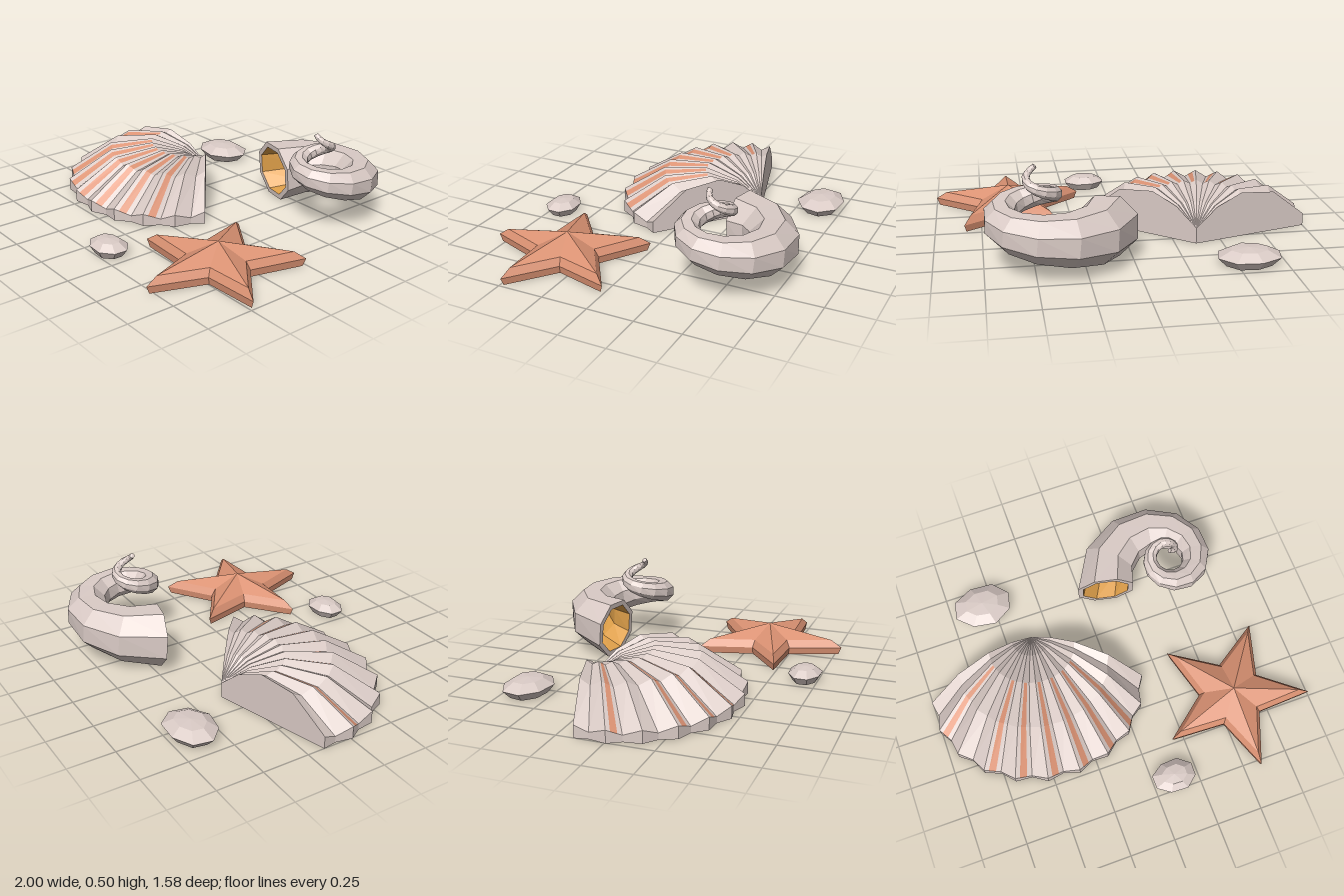
import * as THREE from 'three';

const paint = (name, color, extra = {}) =>
  Object.assign(new THREE.MeshStandardMaterial({ color, flatShading: true, ...extra }), { name });
const V = (x, y, z) => new THREE.Vector3(x, y, z);
const rad = THREE.MathUtils.degToRad;

// Joins neighbouring rings of points with triangles, skipping collapsed ones.
function loft(out, rings, closed = true) {
  const n = rings[0].length;
  const tri = (a, b, c) => {
    if (a.distanceTo(b) < 1e-6 || b.distanceTo(c) < 1e-6 || a.distanceTo(c) < 1e-6) return;
    for (const p of [a, b, c]) out.push(p.x, p.y, p.z);
  };
  for (let i = 0; i < rings.length - 1; i++) {
    for (let j = 0; j < (closed ? n : n - 1); j++) {
      const k = (j + 1) % n;
      const a = rings[i][j], b = rings[i][k], c = rings[i + 1][k], d = rings[i + 1][j];
      tri(a, b, c);
      tri(a, c, d);
    }
  }
  return out;
}

function toMesh(name, positions, material) {
  const g = new THREE.BufferGeometry();
  g.setAttribute('position', new THREE.Float32BufferAttribute(positions, 3));
  g.computeVertexNormals();
  const mesh = new THREE.Mesh(g, material);
  mesh.name = name;
  return mesh;
}

// Solid from horizontal layers [height, scale] of one outline (angle, radius pairs).
function layered(outline, layers, sx = 1, sz = 1) {
  return layers.map(([y, s]) => outline.map(([a, r]) =>
    V(Math.cos(a) * r * s * sx, y, -Math.sin(a) * r * s * sz)));
}

// Ribbed fan shell with a flat underside
function fanShell(mats) {
  const group = new THREE.Group();
  group.name = 'fanShell';
  const apex = V(-0.36, 0, -0.335);
  const profile = [[0, 0.085], [0.18, 0.185], [0.4, 0.245], [0.7, 0.222], [1, 0.067]];
  const steps = 20, start = 39.5, step = 6.25;
  const striped = [3, 5, 7, 9, 11, 13, 17];

  const point = (i, j) => {
    const [f, y] = profile[i];
    const valley = j % 2;
    const off = rad((j - steps / 2) * step);
    // the rim is half an ellipse ahead of the hinge
    const u = Math.sin(off), w = Math.cos(off);
    const A = (u / 0.59) ** 2 + (w / 0.51) ** 2, B = (w * 0.31) / 0.51 ** 2;
    const C = (0.31 / 0.51) ** 2 - 1;
    const R = (B + Math.sqrt(B * B - A * C)) / A;
    const r = R * f * (valley ? 1 - 0.035 * f : 1);
    const a = rad(start + j * step);
    return V(apex.x + Math.cos(a) * r, y - valley * 0.032 * Math.min(1, f * 1.5), apex.z + Math.sin(a) * r);
  };
  const ground = (p) => V(p.x, 0, p.z);

  const body = [], stripes = [];
  for (let j = 0; j < steps; j++) {
    const cuts = striped.includes(j) ? [0, 0.3, 0.72, 1] : [0, 1];
    for (let c = 0; c < cuts.length - 1; c++) {
      const column = profile.map((_, i) =>
        [cuts[c], cuts[c + 1]].map((t) => point(i, j).lerp(point(i, j + 1), t)));
      if (cuts.length > 2 && c === 1) {
        loft(body, column.slice(0, 3), false);
        loft(stripes, column.slice(2), false);
      } else loft(body, column, false);
    }
  }
  // rim and the two straight sides
  const rim = Array.from({ length: steps + 1 }, (_, j) => point(4, j));
  const rimGround = rim.map(ground);
  loft(body, [rim, rimGround], false);
  const right = profile.map((_, i) => point(i, 0));
  const left = profile.map((_, i) => point(i, steps));
  loft(body, [right, right.map(ground)], false);
  loft(body, [left.map(ground), left], false);
  const under = loft([], [rimGround, rimGround.map(() => apex)], false);

  group.add(toMesh('fanShellBody', body, mats.shell), toMesh('fanShellStripes', stripes, mats.coral),
    toMesh('fanShellUnderside', under, mats.cream));
  return group;
}

// Tapering coiled shell rising around its axis
function spiralShell(mats) {
  const group = new THREE.Group();
  group.name = 'spiralShell';
  const centre = (q) => {
    const r = 0.355 * 0.715 ** q, a = q * Math.PI / 2;
    return V(0.48 - r * Math.cos(a), 0.165 + 0.046 * q, -0.43 - r * Math.sin(a));
  };
  const sides = 8;
  const ring = (q, scale) => {
    const c = centre(q);
    const t = centre(q + 0.01).sub(centre(q - 0.01)).normalize();
    const n = V(-t.z, 0, t.x).normalize();
    const b = t.clone().cross(n);
    const R = 0.168 * 0.7 ** q * scale;
    return Array.from({ length: sides }, (_, k) => {
      const a = (k + 0.5) / sides * Math.PI * 2;
      return c.clone().addScaledVector(n, R * Math.cos(a)).addScaledVector(b, R * Math.sin(a));
    });
  };
  // lip, outer coil and closed tip
  const outer = [ring(0, 0.82)];
  for (let i = 0; i <= 21; i++) outer.push(ring(i / 3, 1));
  outer.push(ring(7.05, 0));
  // lining of the opening, deep end first
  const inner = [ring(1.34, 0), ring(1.33, 0.8), ring(1, 0.8), ring(2 / 3, 0.8), ring(1 / 3, 0.81), ring(0, 0.82)];
  group.add(toMesh('spiralCoil', loft([], outer), mats.shell), toMesh('spiralLining', loft([], inner), mats.ochre));
  return group;
}

// Five-armed starfish with bevelled edge and ridged arms
function starfish(mats) {
  const outline = Array.from({ length: 10 }, (_, k) =>
    [-Math.PI / 2 + k * Math.PI / 5, k % 2 ? 0.182 : 0.43]);
  const layers = [[0, 0], [0, 0.96], [0.04, 1], [0.08, 0.86], [0.145, 0]];
  const mesh = toMesh('starfish', loft([], layered(outline, layers)), mats.coral);
  mesh.position.set(0.59, 0, 0.355);
  return mesh;
}

// Small faceted pebble
function pebble(name, x, z, sx, sz, h, turn, mats) {
  const outline = Array.from({ length: 8 }, (_, k) => [(k + turn) * Math.PI / 4, 1 + 0.03 * Math.sin(k * 2.3)]);
  const layers = [[0, 0], [0, 0.72], [h * 0.53, 1], [h * 0.92, 0.58], [h, 0]];
  const mesh = toMesh(name, loft([], layered(outline, layers, sx, sz)), mats.shell);
  mesh.position.set(x, 0, z);
  return mesh;
}

export function createModel() {
  const mats = {
    shell: paint('shellGrey', 0xdacbc6),
    coral: paint('coral', 0xdb9273),
    ochre: paint('ochre', 0xe0a04a),
    cream: paint('cream', 0xd6c397),
  };
  const model = new THREE.Group();
  model.name = 'beachFinds';
  model.add(
    fanShell(mats),
    spiralShell(mats),
    starfish(mats),
    pebble('backPebble', -0.56, -0.63, 0.17, 0.13, 0.088, 0.3, mats),
    pebble('frontPebble', 0.118, 0.68, 0.122, 0.092, 0.08, 0.5, mats),
  );
  return model;
}
